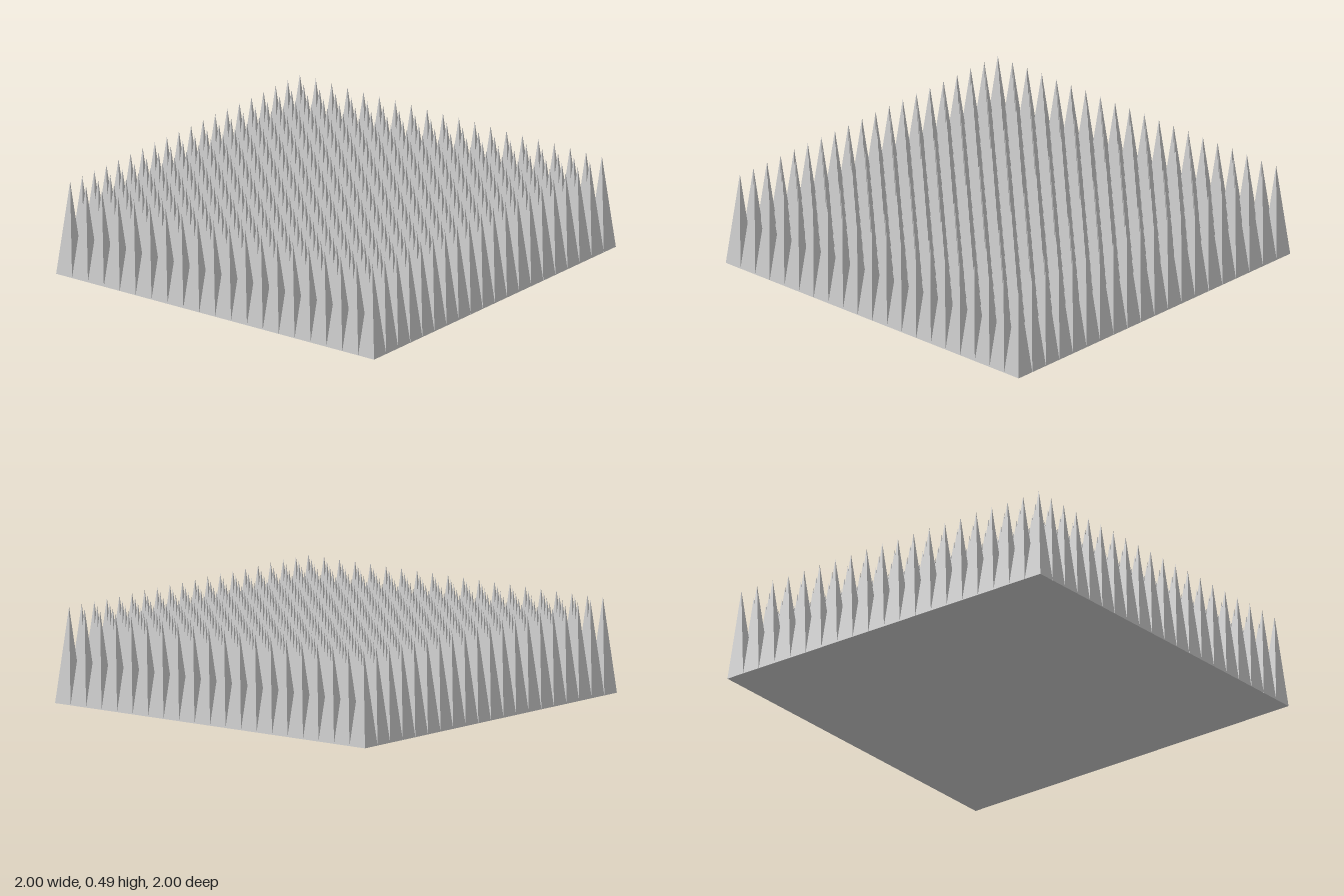
import * as THREE from 'three';
import { mergeGeometries } from 'three/addons/utils/BufferGeometryUtils.js';

const SIZE = 2;      // side of the square panel
const COUNT = 20;    // spikes per side
const HEIGHT = 0.49; // spike height

export function createModel() {
  const group = new THREE.Group();
  group.name = 'spikePanel';
  const material = new THREE.MeshStandardMaterial({
    color: 0xcccccc, flatShading: true, side: THREE.DoubleSide,
  });

  // One square pyramid, open underneath, standing on y = 0
  const cell = SIZE / COUNT;
  const spike = new THREE.ConeGeometry(cell / Math.SQRT2, HEIGHT, 4, 1, true);
  spike.rotateY(Math.PI / 4).translate(0, HEIGHT / 2, 0);

  // Grid of spikes, built row by row from back to front
  const place = (i) => (i + 0.5) * cell - SIZE / 2;
  for (let row = 0; row < COUNT; row++) {
    const spikes = [];
    for (let col = 0; col < COUNT; col++) {
      spikes.push(spike.clone().translate(place(col), 0, place(row)));
    }
    const mesh = new THREE.Mesh(mergeGeometries(spikes), material);
    mesh.name = `spikeRow${row + 1}`;
    group.add(mesh);
  }

  // Flat underside closing the panel
  const base = new THREE.Mesh(new THREE.PlaneGeometry(SIZE, SIZE).rotateX(Math.PI / 2), material);
  base.name = 'base';
  group.add(base);

  return group;
}
